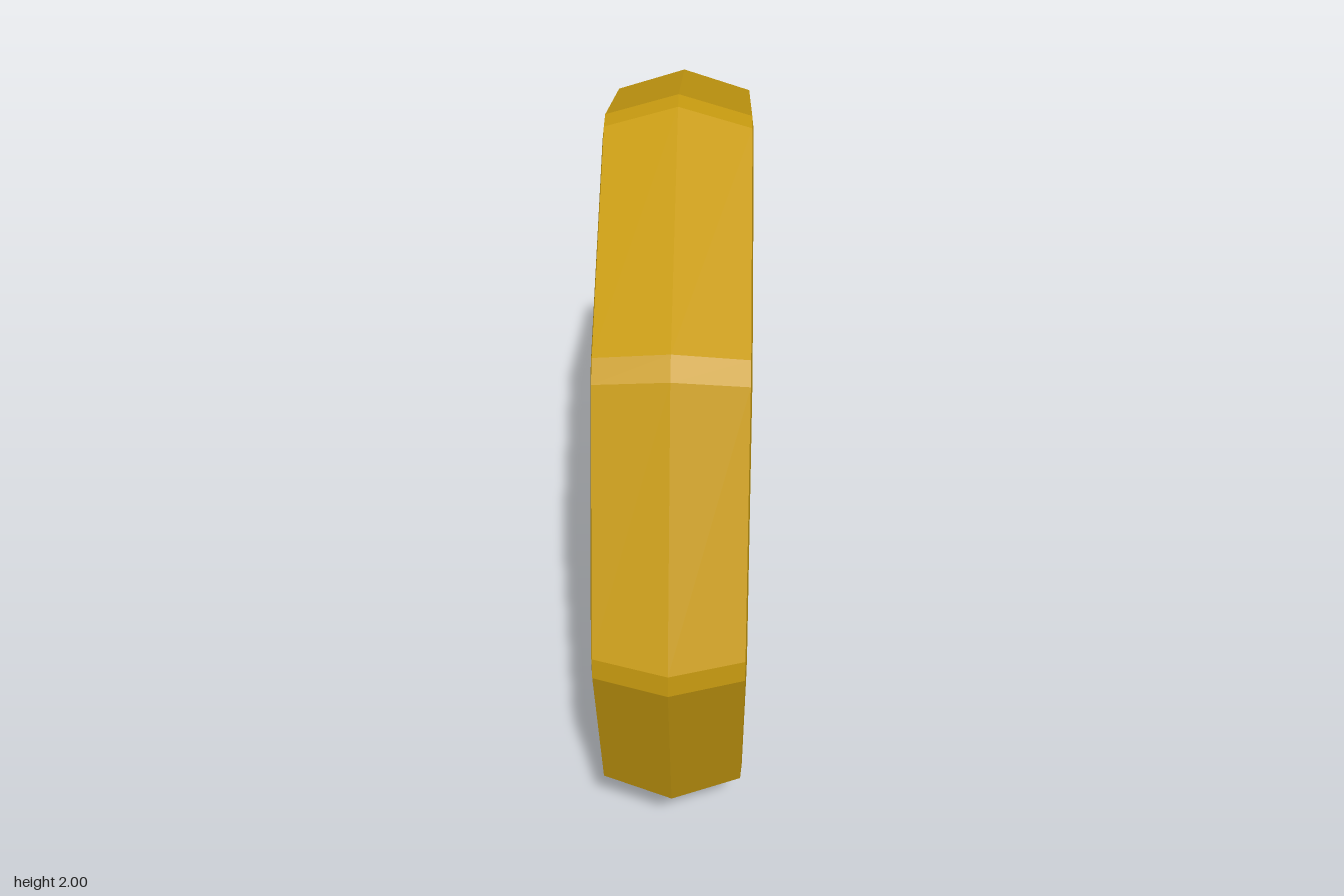
import * as THREE from 'three';

const gold = new THREE.MeshStandardMaterial({ color: 0xc89b10, flatShading: true });
gold.name = 'gold';

// Octagonal ring with blunted corners, facing along x
function ring(r, x, half) {
  const points = [];
  for (let k = 0; k < 8; k++) {
    const a = (k * Math.PI) / 4, c = Math.cos(a), s = Math.sin(a);
    for (const h of [-half, half]) points.push([x, r * c - h * s, r * s + h * c]);
  }
  return points;
}

// Skin consecutive rings; profile entries are [radius, x, half corner width]
function loft(profile) {
  const rings = profile.map(([r, x, h]) => ring(r, x, h));
  const positions = [];
  for (let i = 0; i < rings.length - 1; i++) {
    for (let j = 0; j < 16; j++) {
      const n = (j + 1) % 16, a = rings[i], b = rings[i + 1];
      if (profile[i + 1][0] > 0) positions.push(...a[j], ...b[j], ...b[n]);
      if (profile[i][0] > 0) positions.push(...a[j], ...b[n], ...a[n]);
    }
  }
  const geometry = new THREE.BufferGeometry();
  geometry.setAttribute('position', new THREE.Float32BufferAttribute(positions, 3));
  geometry.computeVertexNormals();
  return geometry;
}

export function createModel() {
  const group = new THREE.Group();
  group.name = 'coin';
  const mirror = (p) => p.map(([r, x, h]) => [r, -x, h]).reverse();

  // Ridged edge, bevelled rim and recess wall
  const rimSide = [
    [0.79, 0.122, 0.035],
    [0.795, 0.178, 0.035],
    [0.828, 0.185, 0.034],
    [0.905, 0.185, 0.032],
    [0.943, 0.181, 0.031],
  ];
  const rim = new THREE.Mesh(loft([...rimSide, [1, 0, 0.032], ...mirror(rimSide)]), gold);
  rim.name = 'rim';
  group.add(rim);

  // Sunken faces with a slightly sloped border
  const floor = [[0, 0.128, 0], [0.768, 0.128, 0.035], [0.79, 0.122, 0.035]];
  for (const [name, profile] of [['leftFace', floor], ['rightFace', mirror(floor)]]) {
    const face = new THREE.Mesh(loft(profile), gold);
    face.name = name;
    group.add(face);
  }

  group.position.y = 1;
  const root = new THREE.Group();
  root.add(group);
  return root;
}
